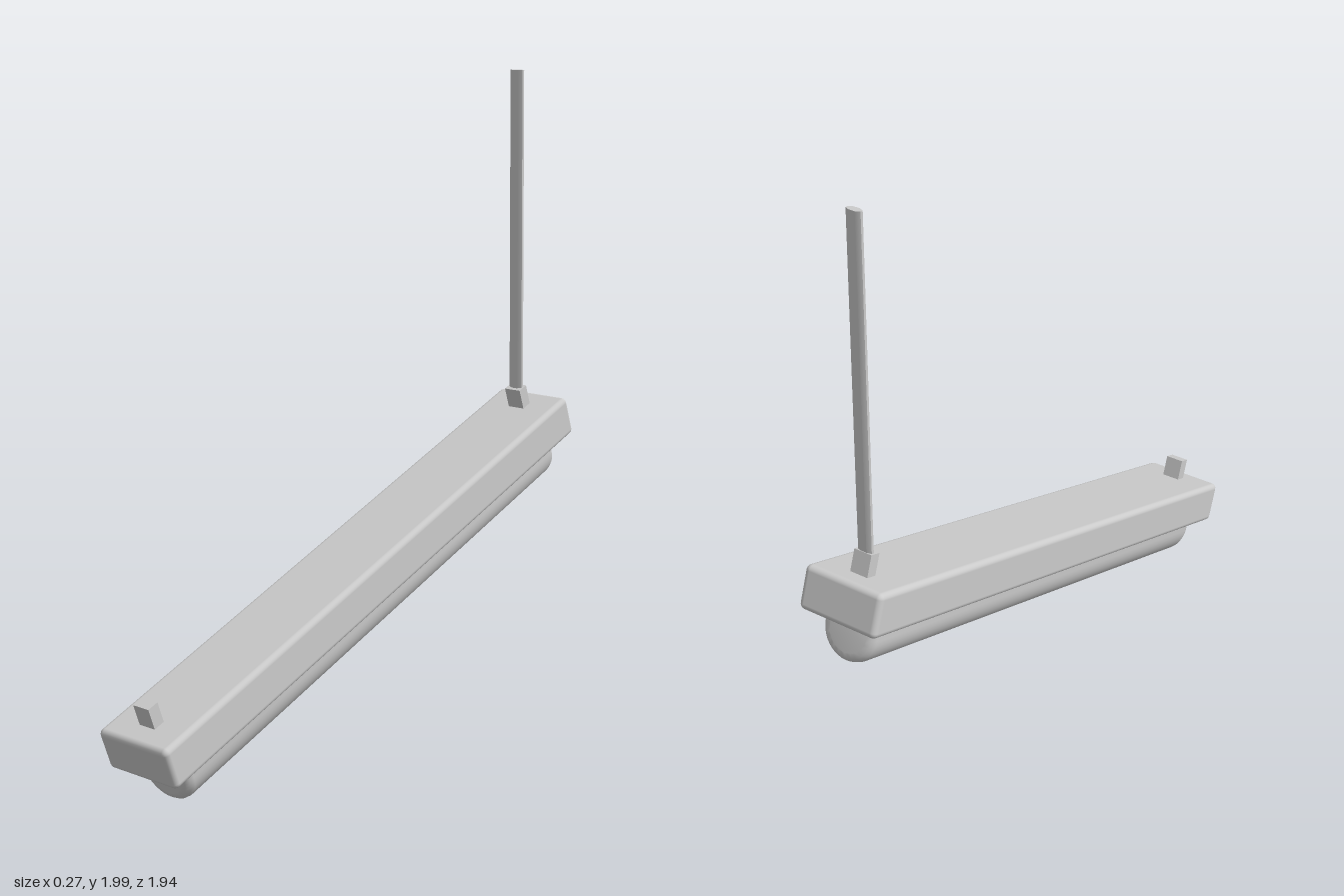
import * as THREE from 'three';
import { RoundedBoxGeometry } from 'three/addons/geometries/RoundedBoxGeometry.js';
import { toCreasedNormals } from 'three/addons/utils/BufferGeometryUtils.js';

const material = new THREE.MeshStandardMaterial({ color: 0xcccccc });

function addPart(parent, name, geometry, x, y, z) {
  const mesh = new THREE.Mesh(geometry, material);
  mesh.name = name;
  mesh.position.set(x, y, z);
  parent.add(mesh);
  return mesh;
}

// U-shaped diffuser, extruded along z with rounded ends
function diffuserGeometry(radius, straight, length, bevel) {
  const r = radius - bevel;
  const shape = new THREE.Shape();
  shape.moveTo(r, straight);
  shape.lineTo(-r, straight);
  shape.lineTo(-r, 0);
  shape.absarc(0, 0, r, Math.PI, Math.PI * 2, false);
  shape.lineTo(r, straight);
  const geometry = new THREE.ExtrudeGeometry(shape, {
    depth: length - bevel * 2, curveSegments: 10,
    bevelEnabled: true, bevelSize: bevel, bevelThickness: bevel, bevelSegments: 3,
  });
  geometry.translate(0, 0, -length / 2 + bevel);
  return toCreasedNormals(geometry, 0.7);
}

export function createModel() {
  const model = new THREE.Group();
  model.name = 'hangingLamp';

  // Lamp body, tilted with its front end hanging low
  const lamp = new THREE.Group();
  lamp.name = 'tiltedLamp';
  lamp.position.y = 0.51;
  lamp.rotation.x = THREE.MathUtils.degToRad(20);
  model.add(lamp);

  addPart(lamp, 'housing', new RoundedBoxGeometry(0.27, 0.135, 2.025, 3, 0.018), 0, 0, 0);
  addPart(lamp, 'diffuser', diffuserGeometry(0.095, 0.05, 1.885, 0.03), 0, -0.103, 0);

  // Mounting tabs at both ends
  for (const [name, side] of [['frontTab', 1], ['backTab', -1]]) {
    addPart(lamp, name, new THREE.BoxGeometry(0.06, 0.085, 0.038), 0, 0.093, side * 0.922);
  }

  // Flattened hanging strap rising from the back tab
  const bottom = new THREE.Vector3(0, 0.92, -0.825);
  const top = new THREE.Vector3(0, 2, -0.802);
  const strapGeometry = new THREE.CylinderGeometry(0.026, 0.026, bottom.distanceTo(top), 8);
  strapGeometry.rotateY(Math.PI / 8);
  strapGeometry.scale(1, 1, 0.45);
  const middle = bottom.clone().add(top).multiplyScalar(0.5);
  const strap = addPart(model, 'hangingStrap', toCreasedNormals(strapGeometry, 0.5), 0, middle.y, middle.z);
  strap.rotation.x = Math.atan2(top.z - bottom.z, top.y - bottom.y);

  return model;
}
